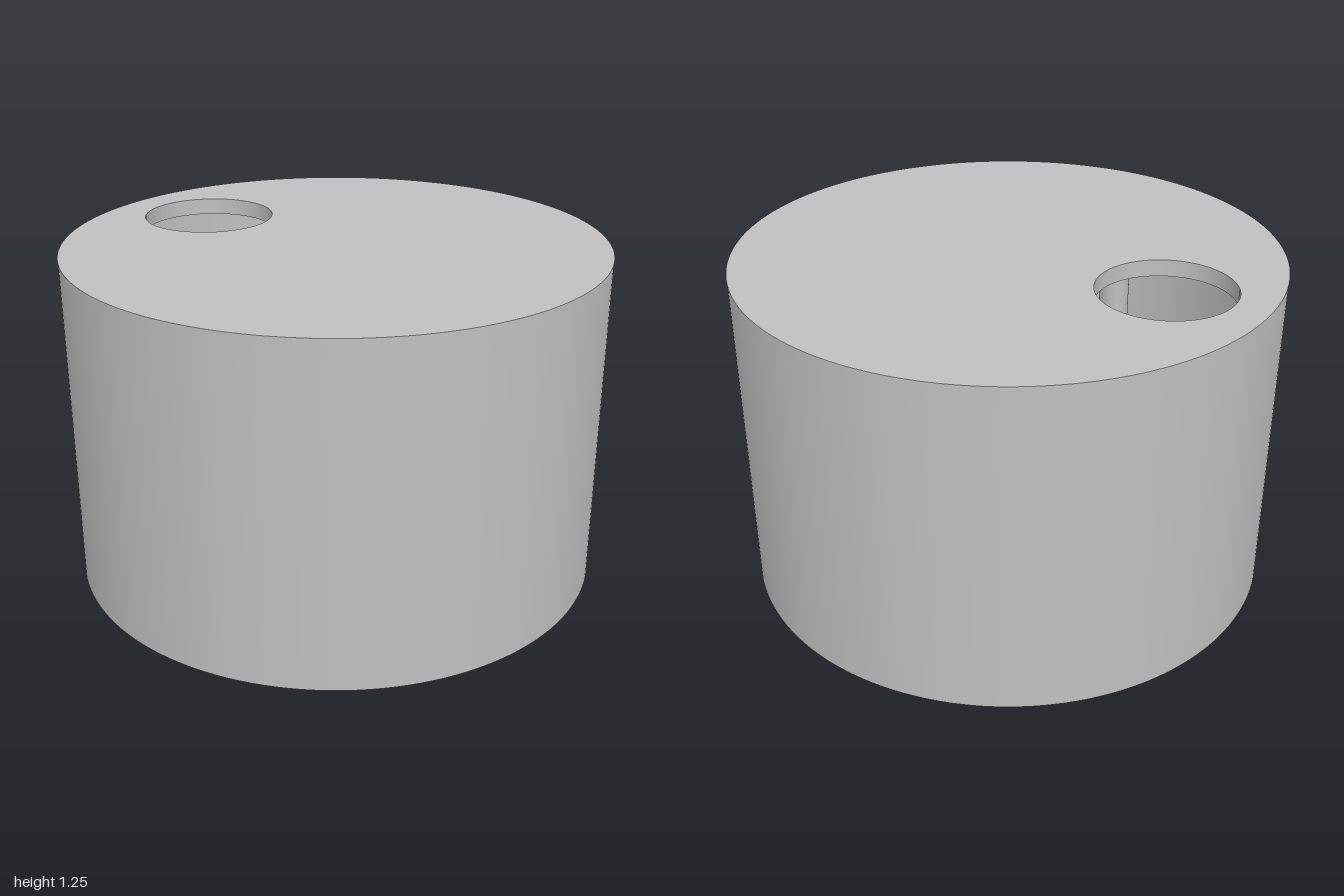
import * as THREE from 'three';
import { toCreasedNormals } from 'three/addons/utils/BufferGeometryUtils.js';

const HEIGHT = 1.25, TOP = 0.0625, INNER = 0.9875;
const CEILING = HEIGHT - TOP;

// Extrude a plan shape (shape y points to -z) upward between two heights
function slab(shape, y0, y1, curveSegments) {
  const g = new THREE.ExtrudeGeometry(shape, { depth: y1 - y0, bevelEnabled: false, curveSegments });
  g.rotateX(-Math.PI / 2);
  g.translate(0, y0, 0);
  return toCreasedNormals(g, Math.PI / 6);
}

function circle(Type, x, y, r) {
  const c = new Type();
  c.absarc(x, y, r, 0, Math.PI * 2, false);
  return c;
}

export function createModel() {
  const model = new THREE.Group();
  model.name = 'roundCover';
  const grey = new THREE.MeshStandardMaterial({ color: 0xc0c0c0 });
  grey.name = 'plain grey';

  const add = (parent, geometry, name) => {
    const mesh = new THREE.Mesh(geometry, grey);
    mesh.name = name;
    parent.add(mesh);
  };

  // Thin cylindrical wall, open at the bottom
  const ring = circle(THREE.Shape, 0, 0, 1);
  ring.holes.push(circle(THREE.Path, 0, 0, INNER));
  add(model, slab(ring, 0, CEILING, 96), 'sideWall');

  // Top plate with a round opening near the back
  const plate = circle(THREE.Shape, 0, 0, 1);
  plate.holes.push(circle(THREE.Path, 0, 0.625, 0.2475));
  add(model, slab(plate, CEILING, HEIGHT, 96), 'topPlate');

  // Boss outline: a disc centred on the rim, cut off by the wall
  const bossR = 0.25, cut = 0.99;
  const t = Math.acos((1 + cut * cut - bossR * bossR) / (2 * cut));
  const p = Math.atan2(cut * Math.sin(t), cut * Math.cos(t) - 1);
  const outline = new THREE.Shape();
  outline.absarc(0, 0, cut, -t, t, false);
  outline.absarc(1, 0, bossR, p, Math.PI * 2 - p, false);
  const bossGeometry = slab(outline, 0.9375, CEILING, 32);

  // Hanging pin below each boss
  const pinBottom = 0.49, pinTop = 0.95;
  const pinGeometry = new THREE.CylinderGeometry(0.0625, 0.0625, pinTop - pinBottom, 32);
  pinGeometry.translate(0.9125, (pinTop + pinBottom) / 2, 0);

  // Left, front and right mounts; the back is left free for the opening
  const mounts = { leftMount: 0, frontMount: -Math.PI / 2, rightMount: Math.PI };
  for (const [name, angle] of Object.entries(mounts)) {
    const mount = new THREE.Group();
    mount.name = name;
    add(mount, bossGeometry, 'boss');
    add(mount, pinGeometry, 'pin');
    mount.rotation.y = angle;
    model.add(mount);
  }
  return model;
}
